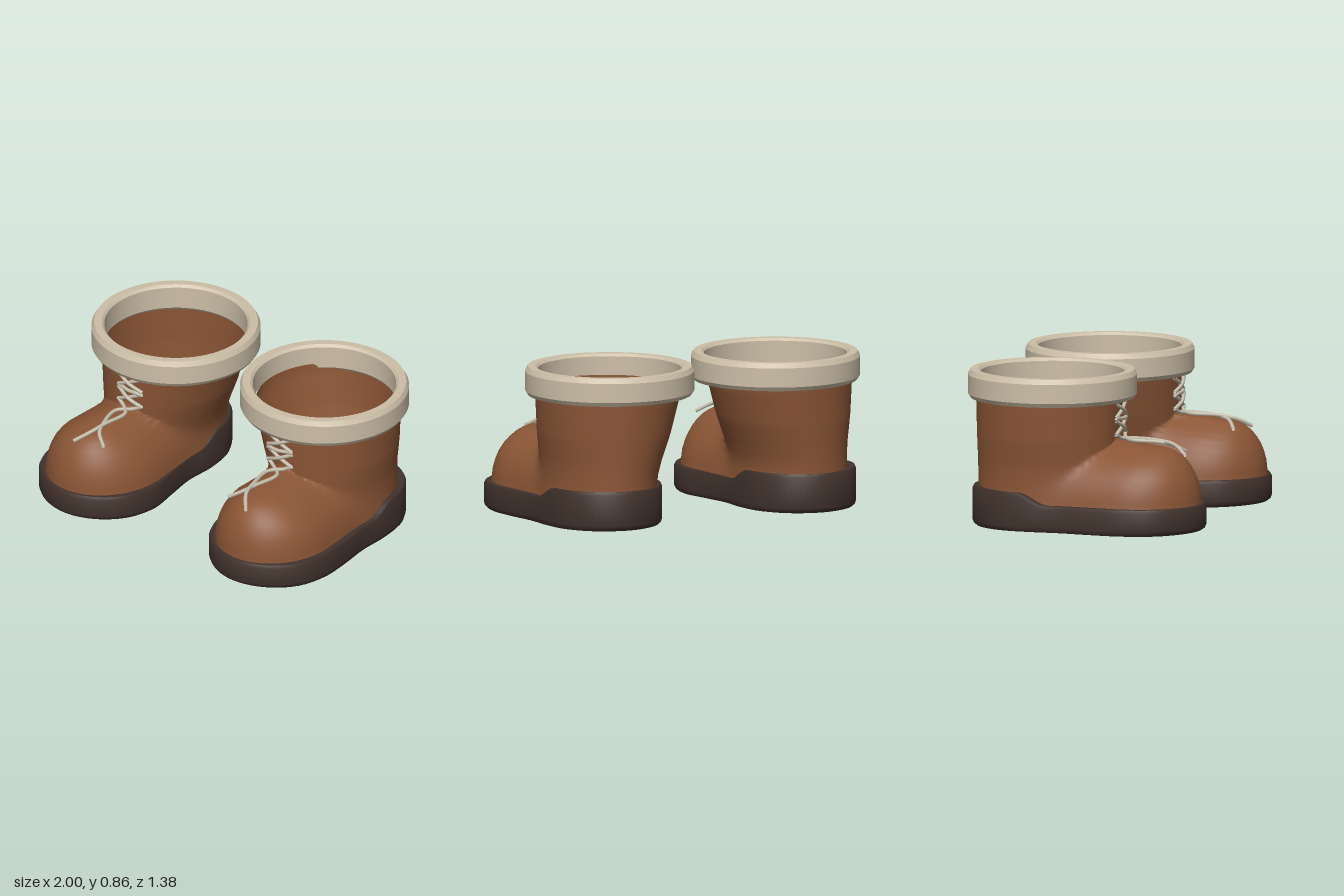
import * as THREE from 'three';
import { toCreasedNormals } from 'three/addons/utils/BufferGeometryUtils.js';

const mat = (name, color, side = THREE.FrontSide) => {
  const m = new THREE.MeshStandardMaterial({ color, side });
  m.name = name;
  return m;
};

// Piecewise-linear lookup: rows of [y, a, b, ...]
function lookup(rows, y) {
  let i = 0;
  while (i < rows.length - 2 && y > rows[i + 1][0]) i++;
  const [p, q] = [rows[i], rows[i + 1]];
  const t = THREE.MathUtils.clamp((y - p[0]) / (q[0] - p[0]), 0, 1);
  return p.slice(1).map((v, k) => v + (q[k + 1] - v) * t);
}

// Skin a stack of closed rings, listed from bottom to top
function loft(rings) {
  const n = rings[0].length, pos = [], idx = [];
  rings.forEach(r => r.forEach(p => pos.push(...p)));
  for (let i = 0; i < rings.length - 1; i++) {
    for (let j = 0; j < n; j++) {
      const a = i * n + j, b = i * n + (j + 1) % n;
      idx.push(a, b, a + n, b, b + n, a + n);
    }
  }
  const g = new THREE.BufferGeometry();
  g.setAttribute('position', new THREE.Float32BufferAttribute(pos, 3));
  g.setIndex(idx);
  g.computeVertexNormals();
  return g;
}

function mirrored(geo) {
  const g = geo.clone().scale(-1, 1, 1);
  const count = g.attributes.position.count;
  const idx = g.index ? Array.from(g.index.array) : Array.from({ length: count }, (_, i) => i);
  for (let i = 0; i < idx.length; i += 3) [idx[i], idx[i + 1]] = [idx[i + 1], idx[i]];
  g.setIndex(idx);
  return g;
}

// Sole: foot outline with a raised heel and softened rims
function soleGeometry() {
  const plan = [
    [0.6, 0.69], [0.78, 0.64], [0.92, 0.51], [0.975, 0.33], [0.97, 0.14], [0.95, -0.05],
    [0.952, -0.25], [0.925, -0.42], [0.81, -0.575], [0.62, -0.64], [0.43, -0.575],
    [0.315, -0.42], [0.285, -0.25], [0.292, -0.05], [0.265, 0.14], [0.242, 0.33],
    [0.295, 0.51], [0.43, 0.64],
  ];
  const curve = new THREE.CatmullRomCurve3(plan.map(([x, z]) => new THREE.Vector3(x, 0, z)), true);
  const outline = curve.getSpacedPoints(96).slice(0, 96);
  const cx = 0.61, cz = 0;
  const ring = (shrink, yOf) => outline.map(p => [
    cx + (p.x - cx) * shrink, yOf(p.z), cz + (p.z - cz) * shrink]);
  const top = z => 0.148 + 0.072 * THREE.MathUtils.smoothstep(-z, 0.13, 0.32);
  return toCreasedNormals(loft([
    ring(0, () => 0), ring(0.965, () => 0), ring(0.99, () => 0.012), ring(1, () => 0.03),
    ring(1, z => top(z) - 0.018), ring(0.985, top), ring(0, () => 0.155),
  ]), 0.6);
}

// Upper: a flared shaft blended with a domed toe, as horizontal sections
function upperGeometry() {
  // y, centre x, half width, centre z, half depth
  const shaft = [
    [0.13, 0.61, 0.31, -0.22, 0.39], [0.25, 0.607, 0.305, -0.22, 0.39],
    [0.35, 0.593, 0.322, -0.222, 0.393], [0.5, 0.573, 0.363, -0.225, 0.4],
    [0.7, 0.55, 0.4, -0.226, 0.408], [0.76, 0.548, 0.402, -0.226, 0.41],
  ];
  // y, centre x, half width, front z
  const toe = [
    [0.13, 0.605, 0.337, 0.667], [0.22, 0.605, 0.32, 0.658], [0.27, 0.605, 0.302, 0.645],
    [0.31, 0.605, 0.28, 0.63], [0.35, 0.603, 0.25, 0.607], [0.38, 0.6, 0.22, 0.585],
    [0.41, 0.597, 0.18, 0.555], [0.43, 0.595, 0.145, 0.525], [0.445, 0.59, 0.115, 0.49],
    [0.455, 0.585, 0.095, 0.44], [0.462, 0.58, 0.08, 0.385], [0.468, 0.575, 0.068, 0.32],
    [0.474, 0.57, 0.055, 0.26], [0.48, 0.565, 0.045, 0.215], [0.5, 0.56, 0.03, 0.12],
  ];
  const half = 48, taper = 0.88, soft = 0.04;

  const toeRadius = (s, c, off, w, dz, depth) => {
    const side = w * taper + Math.sign(s) * off;
    if (c <= 0) return side;
    const slope = Math.abs(s) - w * (1 - taper) * c / dz;
    if (slope > 0 && side / slope * c <= dz) return side / slope;
    const A = (s / w) ** 2 + (c / depth) ** 2;
    const B = s * off / w ** 2 + c * dz / depth ** 2;
    const C = (off / w) ** 2 + (dz / depth) ** 2 - 1;
    return (B + Math.sqrt(Math.max(0, B * B - A * C))) / A;
  };

  const ring = y => {
    const [cx, rx, cz, rz] = lookup(shaft, y);
    const [tx, w, front] = lookup(toe, y);
    const depth = w * 1.15, dz = front - depth - cz;
    return Array.from({ length: 2 * half }, (_, j) => {
      const u = (j - half) / half;
      const angle = Math.PI * Math.sign(u) * Math.abs(u) ** 1.6;
      const s = Math.sin(angle), c = Math.cos(angle);
      let r = 1 / Math.hypot(s / rx, c / rz);
      if (y < 0.5) {
        const t = toeRadius(s, c, tx - cx, w, dz, depth);
        const h = Math.max(0, soft - Math.abs(r - t)) / soft;
        r = Math.max(r, t) + h * h * soft / 4;
      }
      return [cx + r * s, y, cz + r * c];
    });
  };
  const levels = [0.135, 0.18, 0.22, 0.27, 0.31, 0.35, 0.38, 0.41, 0.43, 0.445, 0.455, 0.462,
    0.468, 0.474, 0.48, 0.488, 0.5, 0.52, 0.56, 0.61, 0.66, 0.7, 0.745];
  return loft(levels.map(ring));
}

// Cuff: thick ring with bevelled rims
function cuffGeometry() {
  const profile = [
    [0.398, 0.72], [0.41, 0.705], [0.455, 0.705], [0.47, 0.728], [0.47, 0.835],
    [0.455, 0.862], [0.412, 0.862], [0.398, 0.848], [0.398, 0.72],
  ].map(([r, y]) => new THREE.Vector2(r, y));
  return toCreasedNormals(new THREE.LatheGeometry(profile, 72), 0.5).translate(0.53, 0, -0.215);
}

// Laces: crossed strands up the shaft and two loose ends over the toe
function laceGeometries() {
  const strands = [];
  for (const y of [0.61, 0.515]) {
    strands.push([[0.45, y, 0.185], [0.535, y + 0.04, 0.204], [0.62, y + 0.08, 0.183]]);
    strands.push([[0.62, y, 0.183], [0.535, y + 0.04, 0.192], [0.45, y + 0.08, 0.185]]);
  }
  strands.push([[0.45, 0.59, 0.185], [0.47, 0.6, 0.195], [0.535, 0.602, 0.2], [0.62, 0.61, 0.183]]);
  strands.push([[0.45, 0.52, 0.185], [0.5, 0.495, 0.2], [0.575, 0.487, 0.26],
    [0.545, 0.478, 0.41], [0.515, 0.462, 0.48], [0.445, 0.42, 0.53]]);
  strands.push([[0.62, 0.52, 0.185], [0.57, 0.495, 0.2], [0.51, 0.489, 0.26],
    [0.53, 0.484, 0.41], [0.55, 0.468, 0.5], [0.615, 0.42, 0.585]]);
  return strands.map(pts => new THREE.TubeGeometry(
    new THREE.CatmullRomCurve3(pts.map(p => new THREE.Vector3(...p))), 24, 0.011, 8));
}

export function createModel() {
  const leather = mat('brown leather', 0x8a5535, THREE.DoubleSide);
  const rubber = mat('dark sole', 0x41322c);
  const fleece = mat('cream cuff', 0xcdbfa8);
  const cord = mat('pale lace', 0xc4bcaa, THREE.DoubleSide);

  const parts = [
    ['sole', soleGeometry(), rubber],
    ['upper', upperGeometry(), leather],
    ['cuff', cuffGeometry(), fleece],
    ...laceGeometries().map((g, i) => ['lace' + (i + 1), g, cord]),
  ];

  const model = new THREE.Group();
  model.name = 'boots';
  for (const side of ['left', 'right']) {
    const boot = new THREE.Group();
    boot.name = side + 'Boot';
    for (const [name, geo, material] of parts) {
      const mesh = new THREE.Mesh(side === 'left' ? geo : mirrored(geo), material);
      mesh.name = name;
      boot.add(mesh);
    }
    model.add(boot);
  }
  return model;
}
